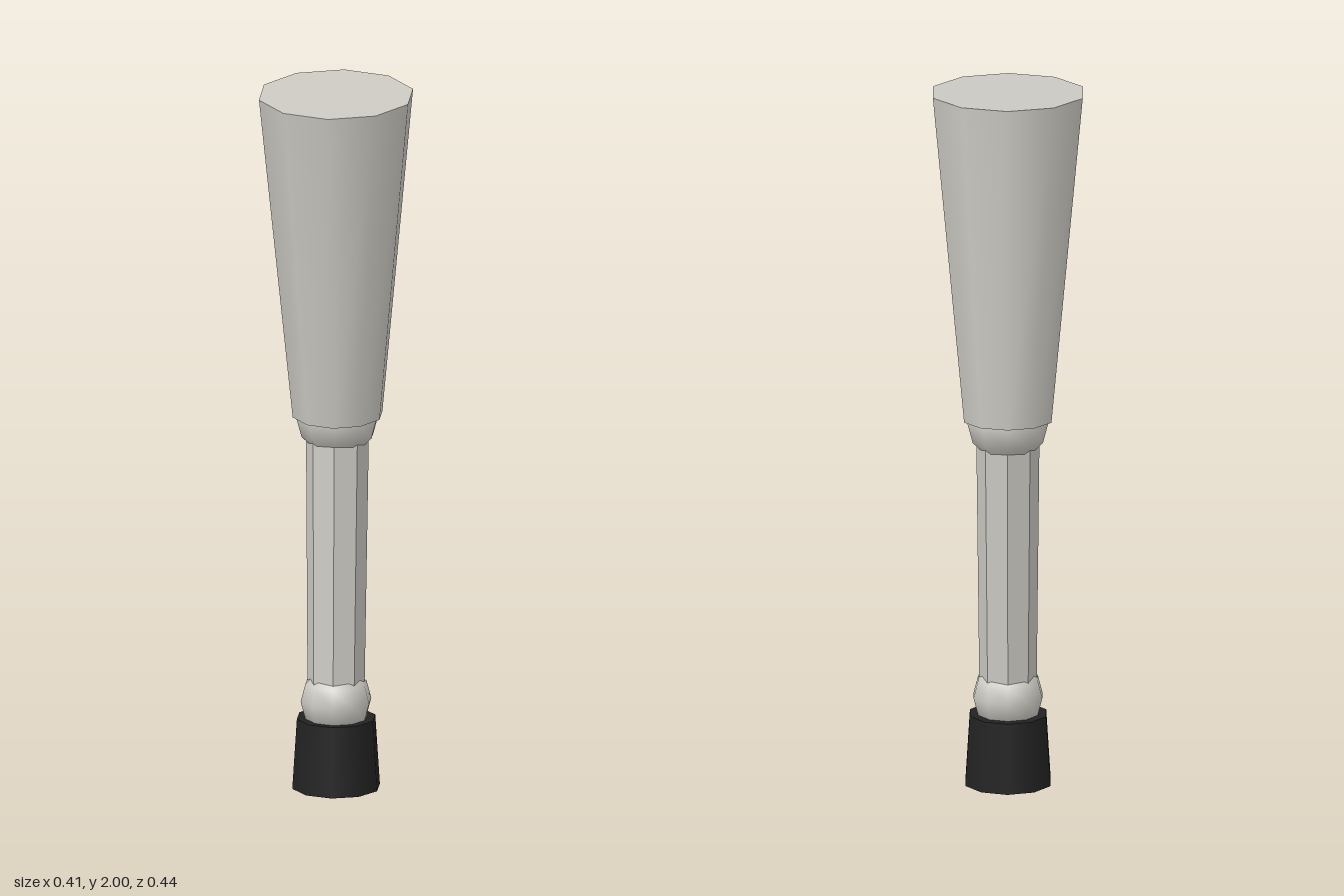
import * as THREE from 'three';

export function createModel() {
  const model = new THREE.Group();
  const paleGrey = new THREE.MeshStandardMaterial({ color: 0xcccac3 });
  const shinGrey = paleGrey.clone();
  shinGrey.flatShading = true;
  const rubberBlack = new THREE.MeshStandardMaterial({ color: 0x222222 });

  const hip = new THREE.Vector3(0, 1.992, 0.002);
  const knee = new THREE.Vector3(0, 1.06, -0.04);
  const ankle = new THREE.Vector3(0, 0.25, 0.003);

  function add(name, geometry, material, position) {
    const mesh = new THREE.Mesh(geometry, material);
    mesh.name = name;
    mesh.position.copy(position);
    model.add(mesh);
    return mesh;
  }

  // Tapered segment running between two joints
  function limb(name, bottom, top, rBottom, rTop, sides, material) {
    const axis = top.clone().sub(bottom);
    const geometry = new THREE.CylinderGeometry(rTop, rBottom, axis.length(), sides);
    const mesh = add(name, geometry, material, bottom.clone().add(top).multiplyScalar(0.5));
    mesh.rotation.x = Math.atan2(axis.z, axis.y);
  }

  // Low-poly ball joint with a corner facing forward
  function joint(name, position, radius) {
    const geometry = new THREE.SphereGeometry(radius, 10, 6).rotateY(Math.PI / 2);
    add(name, geometry, paleGrey, position);
  }

  limb('thigh', knee, hip, 0.127, 0.218, 10, paleGrey);
  joint('kneeJoint', knee, 0.118);
  limb('shin', ankle, knee, 0.079, 0.088, 8, shinGrey);
  joint('ankleJoint', ankle, 0.1);
  limb('foot', new THREE.Vector3(0, 0, 0), new THREE.Vector3(0, 0.2, 0), 0.124, 0.111, 10, rubberBlack);

  return model;
}
